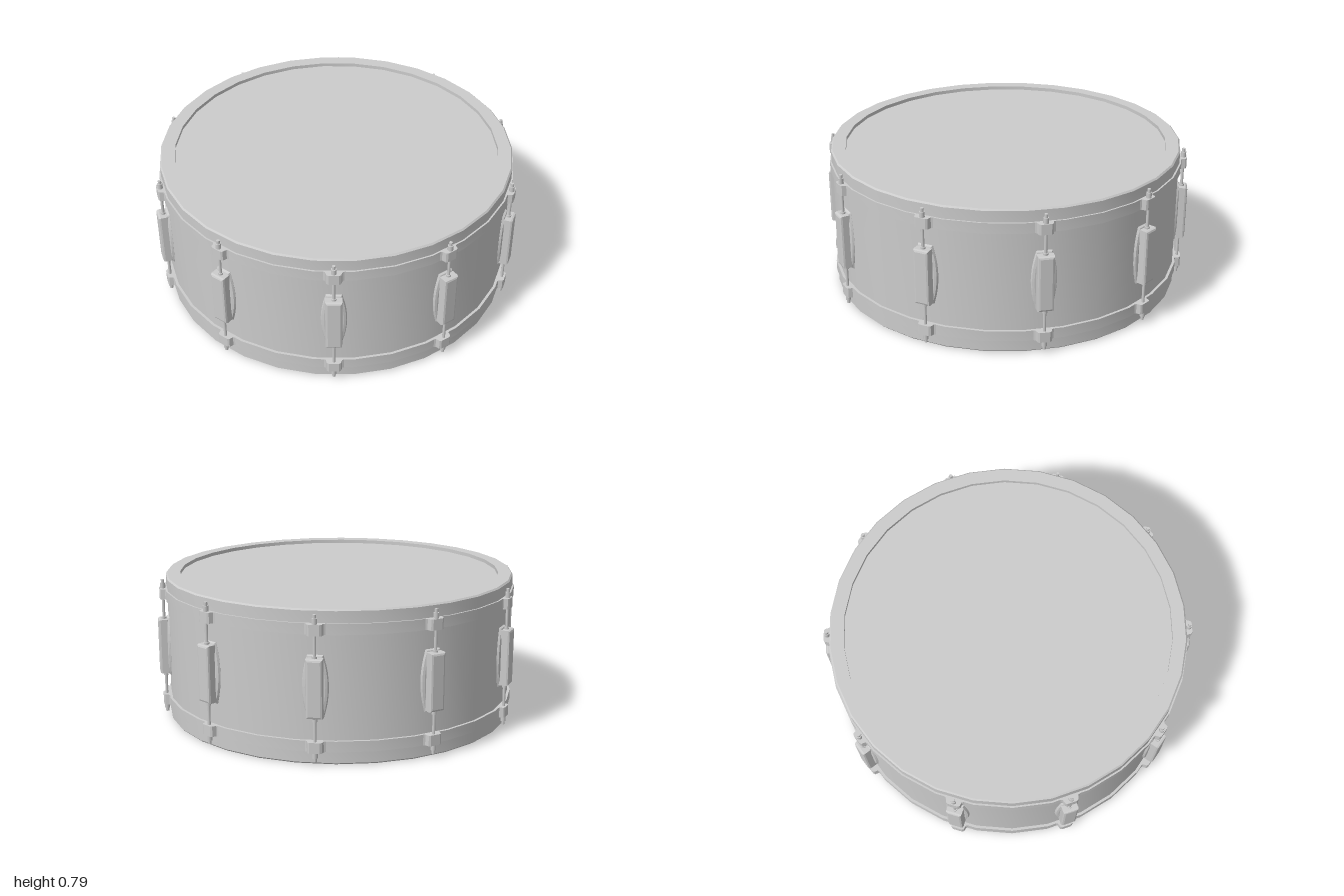
import * as THREE from 'three';
import { toCreasedNormals, mergeVertices } from 'three/addons/utils/BufferGeometryUtils.js';

const SIDES = 30, LUGS = 10, H = 0.785, ROD_R = 0.968;
const material = new THREE.MeshStandardMaterial({ color: 0xcccccc });

function add(parent, geometry, name, x = 0, y = 0, z = 0) {
  const mesh = new THREE.Mesh(geometry, material);
  mesh.name = name;
  mesh.position.set(x, y, z);
  parent.add(mesh);
  return mesh;
}

// closed ring turned from [radius, height] points running up the outside and down the inside
function ring(points) {
  const profile = [...points, points[0]].map(([r, y]) => new THREE.Vector2(r, y));
  return toCreasedNormals(mergeVertices(new THREE.LatheGeometry(profile, SIDES).deleteAttribute('normal').deleteAttribute('uv')), 0.5);
}

function polygon(points) {
  return new THREE.Shape(points.map(([x, y]) => new THREE.Vector2(x, y)));
}

// lug body: bevelled block, outer face towards +z
function lugBodyGeometry() {
  const w = 0.03, h = 0.138, b = 0.012;
  return new THREE.ExtrudeGeometry(polygon([[-w, -h], [w, -h], [w, h], [-w, h]]), {
    depth: 0.036, bevelEnabled: true, bevelSize: b, bevelThickness: b, bevelSegments: 2,
  });
}

// lug base: thin plate with bowed sides that slopes down to the shell
function lugBaseGeometry() {
  const s = new THREE.Shape();
  s.moveTo(-0.028, -0.145);
  s.lineTo(0.028, -0.145);
  s.quadraticCurveTo(0.072, 0, 0.028, 0.145);
  s.lineTo(-0.028, 0.145);
  s.quadraticCurveTo(-0.072, 0, -0.028, -0.145);
  return new THREE.ExtrudeGeometry(s, {
    depth: 0.008, bevelEnabled: true, bevelSize: 0.016, bevelThickness: 0.014, bevelSegments: 2, curveSegments: 8,
  });
}

// ear: block that widens into the band, seen from above, 0.055 high
function earGeometry() {
  const shape = polygon([[-0.06, -0.935], [-0.06, -0.95], [-0.042, -0.958], [-0.036, -0.98], [-0.026, -0.986],
    [0.026, -0.986], [0.036, -0.98], [0.042, -0.958], [0.06, -0.95], [0.06, -0.935]]);
  return new THREE.ExtrudeGeometry(shape, { depth: 0.056, bevelEnabled: false })
    .rotateX(-Math.PI / 2);
}

export function createModel() {
  const drum = new THREE.Group();
  drum.name = 'snareDrum';

  add(drum, ring([[0.945, 0.05], [0.945, H - 0.05], [0.872, H - 0.05], [0.872, 0.05]]), 'shell');

  // hoops and their bands, bottom and top
  const hoop = ring([[0.942, 0], [0.95, 0.008], [0.95, 0.08], [0.872, 0.08], [0.872, 0]]);
  const band = ring([[0.959, 0.068], [0.959, 0.124], [0.93, 0.124], [0.93, 0.068]]);
  for (const top of [false, true]) {
    const rim = new THREE.Group();
    rim.name = top ? 'topHoop' : 'bottomHoop';
    add(rim, hoop, 'hoop');
    add(rim, band, 'hoopBand');
    if (top) {
      rim.rotation.z = Math.PI;
      rim.position.y = H;
    }
    drum.add(rim);
  }

  // drum head, sunk a little below the top hoop
  add(drum, toCreasedNormals(new THREE.CylinderGeometry(0.876, 0.876, 0.045, SIDES), 0.5), 'drumHead', 0, 0.743);

  const body = lugBodyGeometry(), base = lugBaseGeometry(), ear = earGeometry();
  const rod = new THREE.CylinderGeometry(0.008, 0.008, 0.7, 10);
  const nut = new THREE.CylinderGeometry(0.014, 0.014, 0.03, 10);
  const tip = new THREE.CylinderGeometry(0.009, 0.009, 0.02, 8);
  const collar = new THREE.CylinderGeometry(0.013, 0.013, 0.02, 10);

  // tension lugs, one every 36 degrees starting on the x axis
  for (let i = 0; i < LUGS; i++) {
    const lug = new THREE.Group();
    lug.name = 'tensionLug';
    lug.rotation.y = Math.PI / 2 + (i * 2 * Math.PI) / LUGS;
    add(lug, base, 'lugBase', 0, H / 2 + 0.005, 0.933);
    add(lug, body, 'lugBody', 0, H / 2 + 0.005, 0.952);
    add(lug, rod, 'tensionRod', 0, H / 2, ROD_R);
    for (const s of [-1, 1]) {
      const at = (d) => H / 2 + s * d;
      add(lug, ear, 'hoopEar', 0, at(0.2965) - 0.028, 0);
      add(lug, nut, 'rodNut', 0, at(0.338), ROD_R);
      add(lug, tip, 'rodTip', 0, at(0.362), ROD_R);
      add(lug, collar, 'lugCollar', 0, at(0.155), ROD_R);
    }
    drum.add(lug);
  }
  return drum;
}
